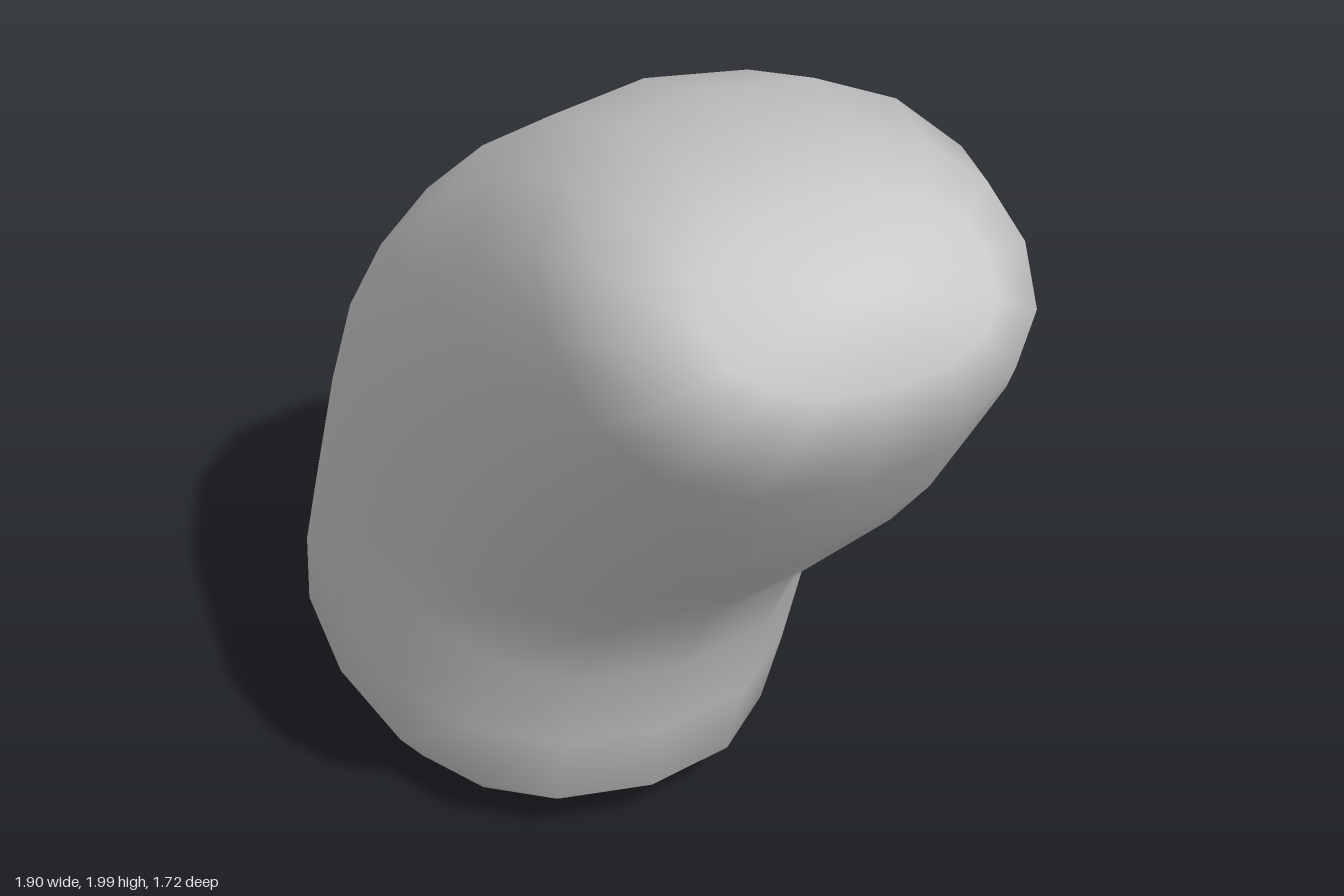
import * as THREE from 'three';

const SIDES = 16;

// Stations from base to tip: outer edge [s, y, n], inner edge [s, y, n], half width
// (s runs along the lean, n across it)
const STATIONS = [
  [-0.78, 0.02, 0.02, -0.28, 0.01, 0.00, 0.23],
  [-0.98, 0.08, 0.03, -0.05, 0.05, 0.00, 0.38],
  [-1.10, 0.21, 0.03, 0.06, 0.14, 0.00, 0.45],
  [-1.07, 0.40, 0.01, 0.11, 0.33, 0.00, 0.475],
  [-0.97, 0.74, -0.01, 0.18, 0.54, 0.00, 0.475],
  [-0.86, 1.00, -0.02, 0.29, 0.74, 0.00, 0.475],
  [-0.69, 1.25, -0.03, 0.49, 0.95, 0.00, 0.475],
  [-0.41, 1.50, -0.04, 0.68, 1.15, 0.01, 0.475],
  [-0.08, 1.74, -0.04, 0.84, 1.34, 0.03, 0.47],
  [0.27, 1.91, -0.01, 0.97, 1.53, 0.06, 0.44],
  [0.58, 1.98, 0.04, 1.06, 1.67, 0.07, 0.38],
  [0.78, 1.99, 0.07, 1.08, 1.80, 0.07, 0.26],
];
const BASE_POLE = [-0.56, 0, 0.01];
const TIP_POLE = [0.98, 1.93, 0.07];

// Slightly squared-off cosine and sine for a fuller oval
const full = (v) => Math.sign(v) * Math.pow(Math.abs(v), 0.88);

function bentBodyGeometry() {
  const pos = [];
  const index = [];
  for (const [os, oy, on, is, iy, inn, w] of STATIONS) {
    for (let j = 0; j < SIDES; j++) {
      const t = (j / SIDES) * Math.PI * 2;
      const c = full(Math.cos(t));
      const across = (o, i) => (o + i) / 2 + ((o - i) / 2) * c;
      pos.push(across(os, is), across(oy, iy), across(on, inn) + w * full(Math.sin(t)));
    }
  }
  const base = pos.length / 3;
  pos.push(...BASE_POLE, ...TIP_POLE);

  const last = (STATIONS.length - 1) * SIDES;
  for (let j = 0; j < SIDES; j++) {
    const k = (j + 1) % SIDES;
    // skin between neighbouring rings
    for (let r = 0; r < last; r += SIDES) {
      index.push(r + j, r + k, r + SIDES + k, r + j, r + SIDES + k, r + SIDES + j);
    }
    // rounded end caps
    index.push(base, k, j, last + j, last + k, base + 1);
  }

  const g = new THREE.BufferGeometry();
  g.setAttribute('position', new THREE.Float32BufferAttribute(pos, 3));
  g.setIndex(index);
  g.computeVertexNormals();
  return g;
}

export function createModel() {
  const group = new THREE.Group();
  group.name = 'bentCapsule';
  const body = new THREE.Mesh(
    bentBodyGeometry(),
    new THREE.MeshStandardMaterial({ color: 0xcccccc }),
  );
  body.name = 'bentBody';
  // turn the bend plane diagonally, leaning toward the front left
  body.rotation.y = -0.657;
  body.position.set(0.025, 0, -0.035);
  group.add(body);
  return group;
}
